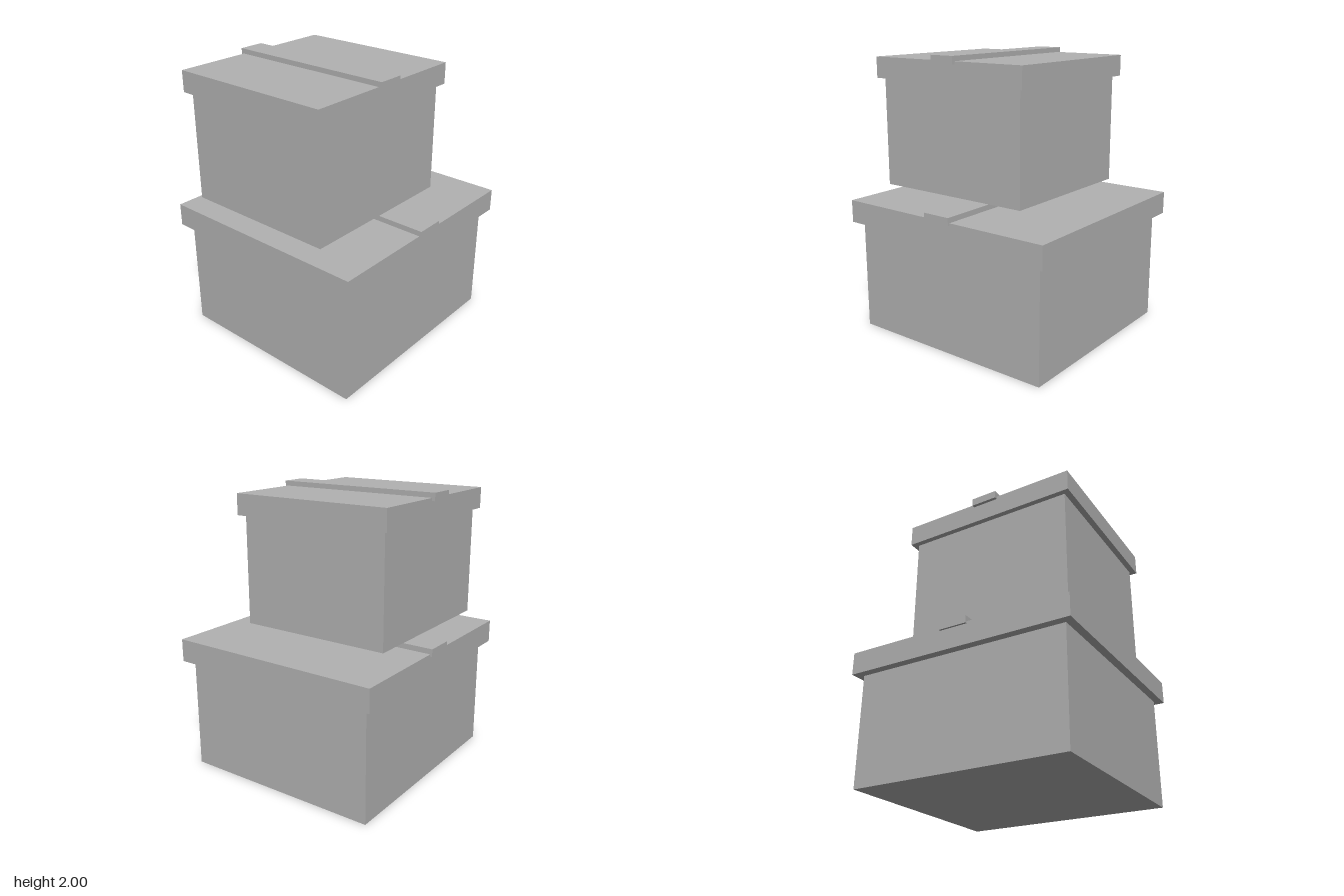
import * as THREE from 'three';

const cardboard = new THREE.MeshStandardMaterial({ color: 0xb2b2b2 });
cardboard.name = 'grey cardboard';

// Block given by its width, depth and vertical extent
function block(name, width, depth, y0, y1) {
  const mesh = new THREE.Mesh(new THREE.BoxGeometry(width, y1 - y0, depth), cardboard);
  mesh.name = name;
  mesh.position.y = (y0 + y1) / 2;
  return mesh;
}

// Carton: body, overhanging lid and a strip of tape across the lid
function carton(name, x, y, z, { body, lid, tape }) {
  const group = new THREE.Group();
  group.name = name;
  group.position.set(x, y, z);
  group.add(block('body', ...body), block('lid', ...lid), block('tapeStrip', ...tape));
  return group;
}

export function createModel() {
  const model = new THREE.Group();
  model.name = 'stackedCartons';

  model.add(
    carton('lowerCarton', 0, 0, 0, {
      body: [1.555, 1.46, 0, 0.81],
      lid: [1.67, 1.576, 0.8, 0.962],
      tape: [0.208, 1.605, 0.947, 1.0],
    }),
    // The upper carton stands off-centre, clear of the lower tape
    carton('upperCarton', -0.152, 1.037, -0.071, {
      body: [1.2, 1.128, 0, 0.79],
      lid: [1.285, 1.203, 0.778, 0.928],
      tape: [0.188, 1.247, 0.908, 0.963],
    }),
  );
  return model;
}
